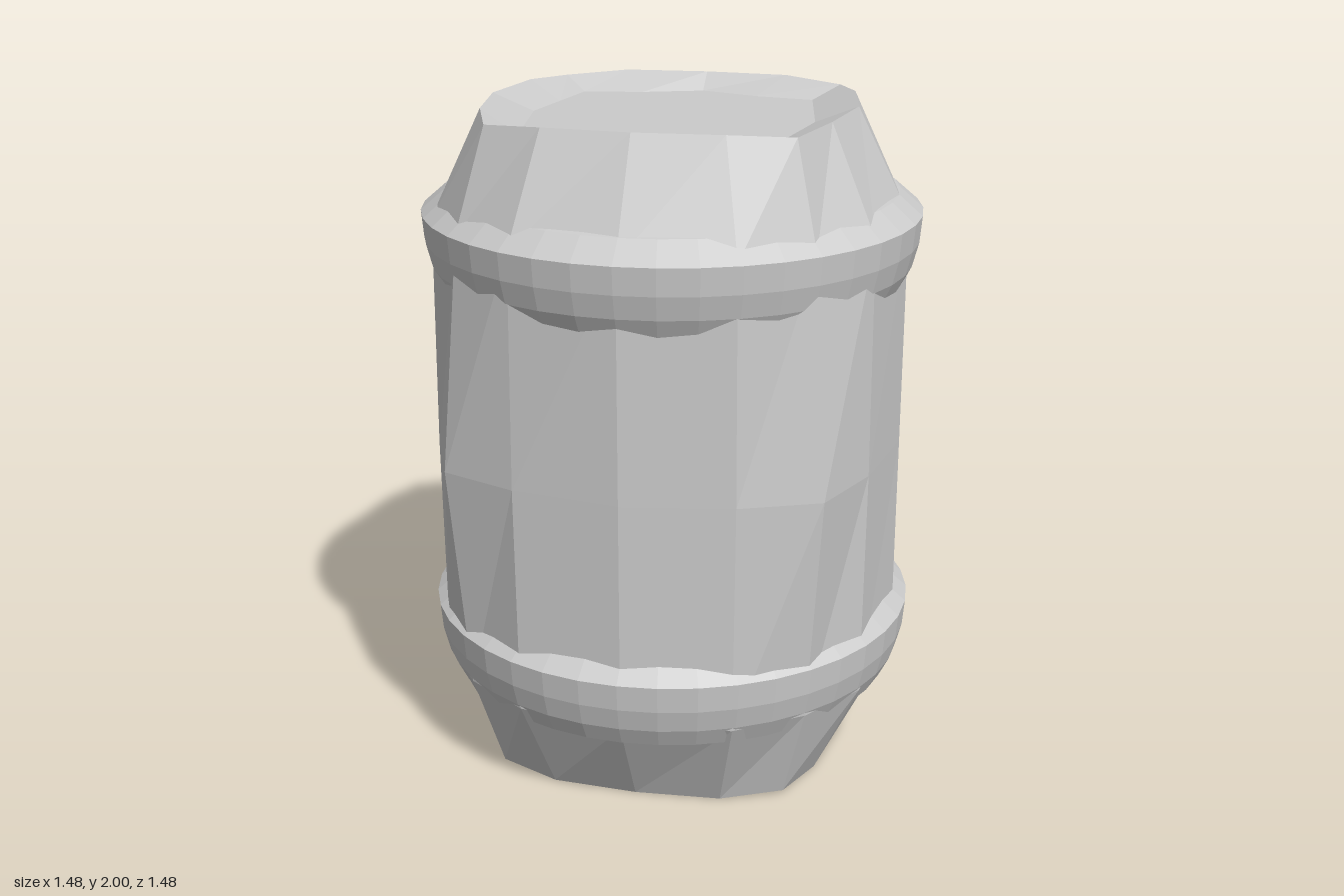
import * as THREE from 'three';

const material = new THREE.MeshStandardMaterial({ color: 0xcccccc, flatShading: true });

// 16-sided, slightly squared loop, mirrored from one octant.
// ax, az: half widths on the axes; [b, c]: in-between corner; d: diagonal corner
function loop(y, ax, az, [b, c], d, yDiag = y) {
  const quarter = [[ax, 0, y], [b, c, y], [d, d, yDiag], [c, b, y]];
  const turnOver = [[0, az, y], [-c, b, y], [-d, d, yDiag], [-b, c, y]];
  const half = [...quarter, ...turnOver];
  return [...half, ...half.map(([x, z, h]) => [-x, -z, h])];
}

// Skin between successive loops
function skin(loops) {
  const n = loops[0].length;
  const positions = [], index = [];
  loops.forEach(l => l.forEach(([x, z, y]) => positions.push(x, y, z)));
  for (let r = 0; r < loops.length - 1; r++) {
    for (let i = 0; i < n; i++) {
      const j = (i + 1) % n;
      const a = r * n + i, b = r * n + j, c = a + n, d = b + n;
      index.push(a, c, b, b, c, d);
    }
  }
  const g = new THREE.BufferGeometry();
  g.setAttribute('position', new THREE.Float32BufferAttribute(positions, 3));
  g.setIndex(index);
  const flat = g.toNonIndexed();
  flat.computeVertexNormals();
  return flat;
}

// Barrel with a shallow recess in each end
function createBody() {
  const cap = y => loop(y, 0, 0, [0, 0], 0);
  const recess = y => loop(y, 0.42, 0.455, [0.39, 0.18], 0.36);
  const rim = (y, yDiag) => loop(y, 0.545, 0.52, [0.503, 0.255], 0.435, yDiag);
  const shoulder = y => loop(y, 0.7, 0.7, [0.64, 0.315], 0.505);
  const belly = loop(1, 0.7, 0.7, [0.645, 0.32], 0.55);
  return new THREE.Mesh(skin([
    cap(0.05), recess(0.05), rim(0, 0.012),
    shoulder(0.31), belly, shoulder(1.69),
    rim(2, 1.988), recess(1.95), cap(1.95),
  ]), material);
}

// Hoop: rounded underneath, with a bevelled upper edge
function createHoop(y) {
  const profile = [
    [0.6, -0.215], [0.685, -0.21], [0.715, -0.15], [0.733, -0.08],
    [0.74, 0], [0.67, 0.06], [0.6, 0.075],
  ].map(([r, h]) => new THREE.Vector2(r, h));
  const hoop = new THREE.Mesh(new THREE.LatheGeometry(profile, 40), material);
  hoop.position.y = y;
  return hoop;
}

export function createModel() {
  const group = new THREE.Group();
  group.name = 'barrel';

  const body = createBody();
  body.name = 'barrelBody';
  group.add(body);

  for (const [name, y] of [['lowerHoop', 0.47], ['upperHoop', 1.69]]) {
    const hoop = createHoop(y);
    hoop.name = name;
    group.add(hoop);
  }
  return group;
}
